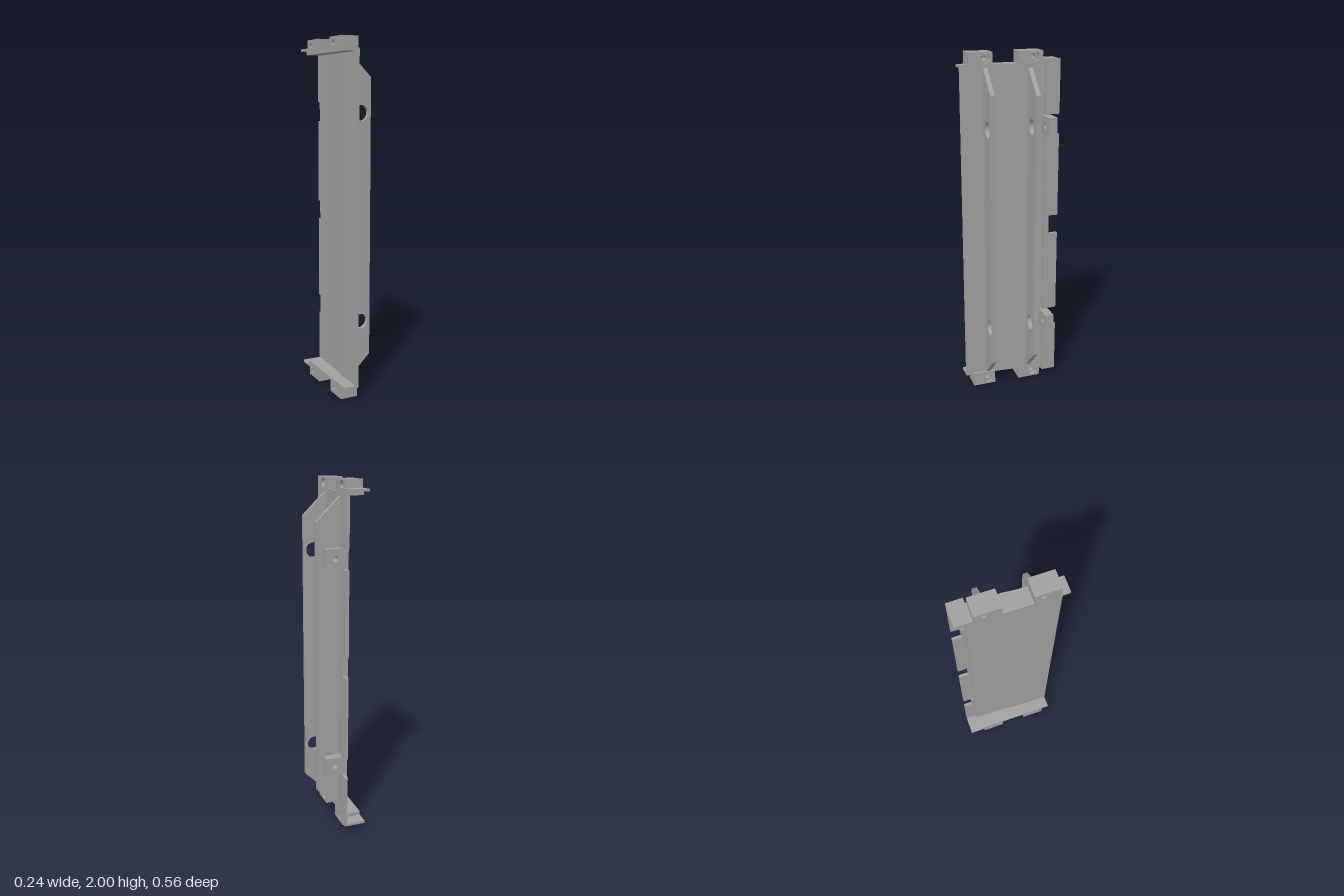
import * as THREE from 'three';

export function createModel() {
  const root = new THREE.Group();
  root.name = 'ribbedPanel';
  const grey = new THREE.MeshStandardMaterial({ color: 0xa0a0a0 });
  grey.name = 'grey';

  const add = (name, geometry) => {
    const mesh = new THREE.Mesh(geometry, grey);
    mesh.name = name;
    root.add(mesh);
    return mesh;
  };
  const box = (name, x0, x1, y0, y1, z0, z1) => {
    const g = new THREE.BoxGeometry(x1 - x0, y1 - y0, z1 - z0);
    g.translate((x0 + x1) / 2, (y0 + y1) / 2, (z0 + z1) / 2);
    return add(name, g);
  };
  // Outline with optional round holes given as [a, b, radius]
  const outline = (points, holes = []) => {
    const s = new THREE.Shape(points.map(([a, b]) => new THREE.Vector2(a, b)));
    for (const [a, b, r] of holes) s.holes.push(new THREE.Path().absarc(a, b, r, 0, Math.PI * 2, true));
    return s;
  };
  const rect = (a0, a1, b0, b1) => [[a0, b0], [a1, b0], [a1, b1], [a0, b1]];
  const extrude = (shape, depth) =>
    new THREE.ExtrudeGeometry(shape, { depth, bevelEnabled: false, curveSegments: 20 });
  // Outline in x, y, extruded along z
  const alongZ = (name, shape, z0, z1) => add(name, extrude(shape, z1 - z0).translate(0, 0, z0));
  // Outline in -z, y, extruded along x
  const alongX = (name, shape, x0, x1) =>
    add(name, extrude(shape, x1 - x0).rotateY(Math.PI / 2).translate(x0, 0, 0));
  // Outline in x, -z, extruded along y
  const alongY = (name, shape, y0, y1) =>
    add(name, extrude(shape, y1 - y0).rotateX(-Math.PI / 2).translate(0, y0, 0));

  // Gently bent main panel
  const bend = new THREE.CatmullRomCurve3([
    [-0.033, -0.28], [-0.03, -0.1], [-0.0185, 0.06], [-0.016, 0.197],
  ].map(([x, v]) => new THREE.Vector3(x, v, 0))).getPoints(16);
  const outer = bend.map((p) => [p.x, p.y]);
  const inner = outer.map(([x, v]) => [x - 0.018, v]).reverse();
  alongY('panel', outline([...outer, ...inner]), 0.07, 1.935);

  // Step between the panel and the raised rear strip
  box('stepWall', -0.034, 0, 0.05, 1.955, -0.21, -0.195);

  // Raised rear strip with three notches in its free edge
  const edge = [[0.195, 0.05], [0.28, 0.05]];
  for (const [lo, hi] of [[0.355, 0.467], [0.95, 1.06], [1.54, 1.653]]) {
    edge.push([0.28, lo], [0.225, lo], [0.225, hi], [0.28, hi]);
  }
  edge.push([0.28, 1.957], [0.195, 1.957]);
  alongX('rearStrip', outline(edge), -0.011, 0.005);

  // Two long trapezoid ribs, each with two round holes
  for (const [z0, z1, reach] of [[-0.125, -0.099, 0.118], [0.13, 0.155, 0.105]]) {
    const rise = reach + 0.03;
    alongZ('rib', outline(
      [[-0.032, 0.08], [-0.026, 0.08], [reach, 0.075 + rise], [reach, 1.925 - rise], [-0.026, 1.92], [-0.032, 1.92]],
      [[0.047, 0.41, 0.043], [0.047, 1.597, 0.043]],
    ), z0, z1);
  }

  // Drilled tabs by the rear strip
  for (const y of [0.41, 1.597]) {
    alongZ('tab', outline(rect(-0.018, 0.1, y - 0.053, y + 0.053), [[0.047, y, 0.016]]), -0.23, -0.18);
  }

  // Lips and counterbored mounting blocks at both ends
  for (const top of [false, true]) {
    const flip = (a, b) => (top ? [2 - b, 2 - a] : [a, b]);
    const [l0, l1] = flip(0.068, 0.082);
    box('lip', -0.12, -0.036, l0, l1, -0.2, 0.28);
    const [r0, r1] = flip(0.045, 0.059);
    box('rearLip', -0.12, 0.003, r0, r1, -0.28, -0.197);
    const [s0, s1] = flip(0.045, 0.082);
    box('lipStep', -0.12, -0.02, s0, s1, -0.203, -0.19);
    const [b0, b1] = flip(0, 0.082);
    const holeY = top ? 1.967 : 0.035;
    for (const [z0, z1, holeZ] of [[0.102, 0.237, 0.145], [-0.187, -0.05, -0.14]]) {
      const face = rect(-z1, -z0, b0, b1);
      alongX('blockBase', outline(face, [[-holeZ, holeY, 0.014]]), -0.12, -0.04);
      alongX('blockFace', outline(face, [[-holeZ, holeY, 0.026]]), -0.04, -0.019);
    }
  }
  return root;
}
